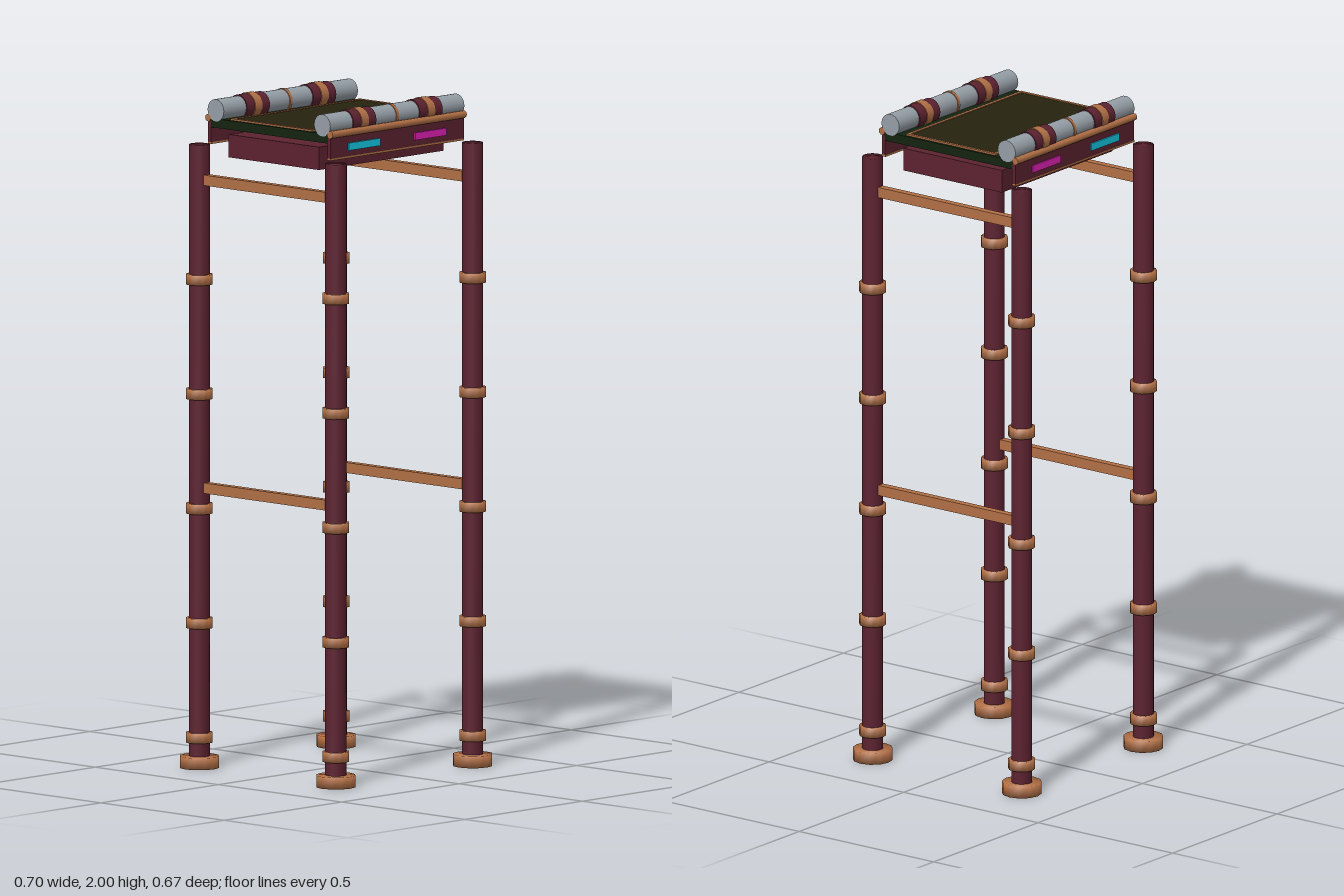
import * as THREE from 'three';
import { mergeVertices } from 'three/addons/utils/BufferGeometryUtils.js';

export function createModel() {
  const model = new THREE.Group();
  model.name = 'tallStand';
  const mat = (name, color) => {
    const m = new THREE.MeshStandardMaterial({ color });
    m.name = name;
    return m;
  };
  const maroon = mat('maroon', 0x5c2230);
  const copper = mat('copper', 0xb27046);
  const steel = mat('steel grey', 0x959ea6);
  const olive = mat('dark olive', 0x25220e);
  const green = mat('dark green', 0x14240f);
  const cyan = mat('cyan', 0x14c8e4);
  const magenta = mat('magenta', 0xe020b4);

  const add = (name, geo, material, x, y, z) => {
    const mesh = new THREE.Mesh(geo, material);
    mesh.name = name;
    mesh.position.set(x, y, z);
    model.add(mesh);
    return mesh;
  };
  const box = (name, m, w, h, d, x, y, z) => add(name, new THREE.BoxGeometry(w, h, d), m, x, y, z);
  // Cylinder whose normals blend softly across the rims
  const softCylinder = (r, h, sides) => {
    const g = new THREE.CylinderGeometry(r, r, h, sides);
    g.deleteAttribute('normal');
    g.deleteAttribute('uv');
    const merged = mergeVertices(g, 1e-4);
    merged.computeVertexNormals();
    return merged;
  };
  const rod = (name, m, r, length, x, y, z, sides = 20) => {
    const g = new THREE.CylinderGeometry(r, r, length, sides);
    g.rotateZ(Math.PI / 2);
    return add(name, g, m, x, y, z);
  };

  // Legs with joint rings and round feet
  for (const x of [-0.291, 0.291]) {
    for (const z of [-0.277, 0.277]) {
      add('leg', softCylinder(0.031, 1.825, 16), maroon, x, 0.9425, z);
      add('foot', softCylinder(0.059, 0.035, 12), copper, x, 0.0225, z);
      for (let i = 0; i < 5; i++) {
        add('legRing', softCylinder(0.04, 0.03, 12), copper, x, 0.095 + i * 0.34, z);
      }
    }
    // Side braces joining front and back legs
    for (const y of [0.838, 1.752]) box('sideBrace', copper, 0.023, 0.031, 0.5, x, y, 0);
  }

  // Deck and the box slung under it
  box('deck', green, 0.568, 0.027, 0.476, 0, 1.9225, 0);
  box('deckPanel', olive, 0.53, 0.003, 0.31, 0, 1.9375, 0);
  box('underBox', maroon, 0.53, 0.068, 0.366, 0, 1.857, 0);

  // Copper inlay around the deck panel
  for (const s of [-1, 1]) {
    box('inlayLong', copper, 0.55, 0.005, 0.01, 0, 1.9385, s * 0.16);
    box('inlayShort', copper, 0.01, 0.005, 0.31, s * 0.27, 1.9385, 0);
  }

  // Front and back fascias, each with its tube on top
  for (const s of [-1, 1]) {
    box('fascia', maroon, 0.568, 0.062, 0.012, 0, 1.896, s * 0.242);
    box('fasciaTrim', copper, 0.568, 0.006, 0.014, 0, 1.862, s * 0.242);
    rod('edgeRail', copper, 0.011, 0.57, 0, 1.936, s * 0.248, 10);
    box('cyanLight', cyan, 0.133, 0.022, 0.006, -0.142, 1.893, s * 0.2495);
    box('magentaLight', magenta, 0.133, 0.022, 0.006, 0.139, 1.893, s * 0.2495);

    const y = 1.961, z = s * 0.216;
    rod('tube', steel, 0.033, 0.57, 0, y, z);
    rod('tubeMiddleRing', copper, 0.0355, 0.01, 0, y, z);
    for (const x of [-0.141, 0.141]) {
      rod('tubeGrip', maroon, 0.0365, 0.097, x, y, z);
      rod('tubeClamp', copper, 0.039, 0.03, x, y, z);
    }
  }
  return model;
}
